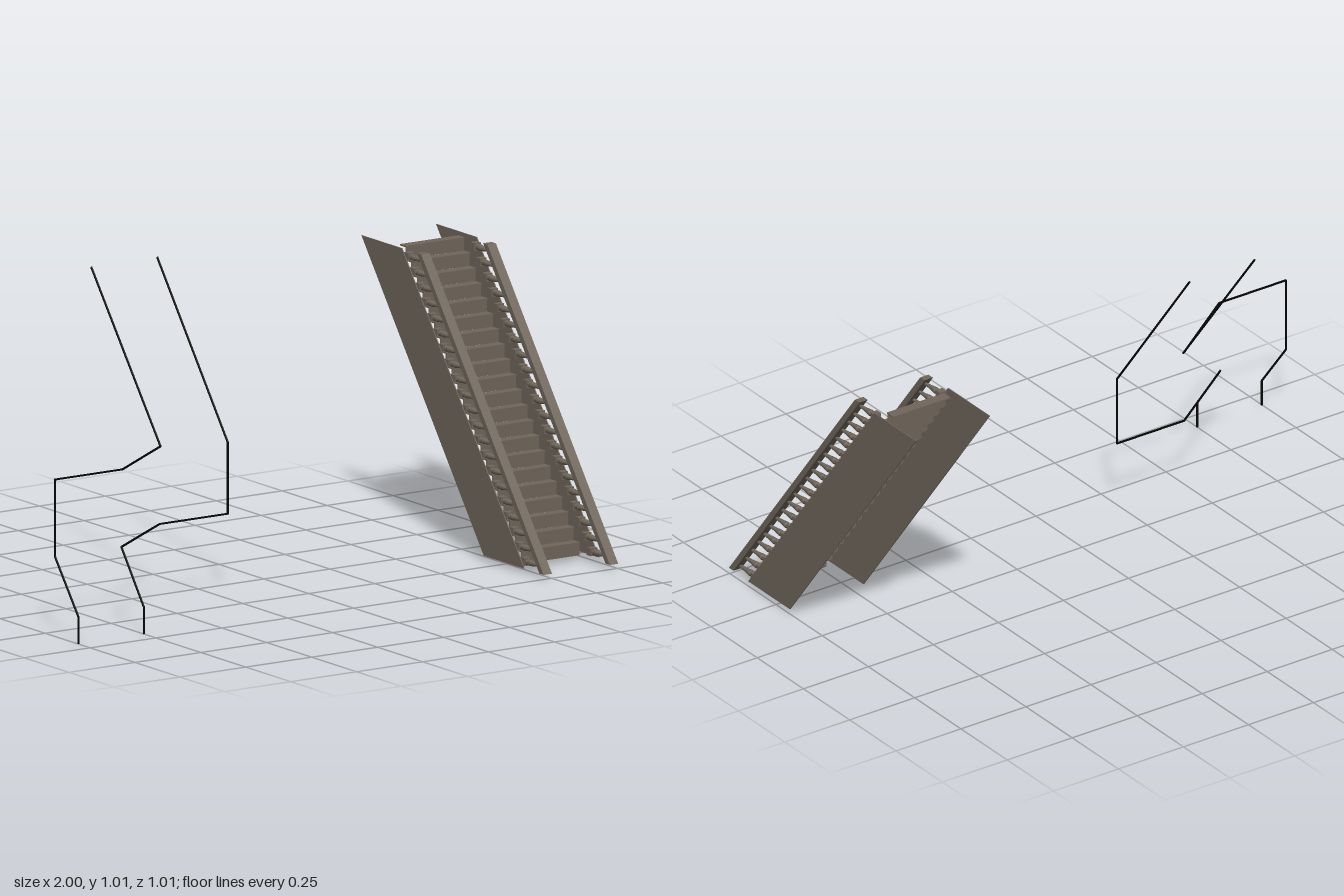
import * as THREE from 'three';

const BASE = 0.015, TOP = 0.917, SLOPE = 0.755; // z lost per unit of height
const STEPS = 21, RISE = (TOP - BASE) / STEPS, RUN = 0.675 / STEPS;

// sloping slab with level ends: z range at its foot, x range across
function slopedSlab(zFront, zBack, x0, x1) {
  const shift = (TOP - BASE) * SLOPE;
  const shape = new THREE.Shape([
    new THREE.Vector2(zBack, BASE), new THREE.Vector2(zFront, BASE),
    new THREE.Vector2(zFront - shift, TOP), new THREE.Vector2(zBack - shift, TOP),
  ]);
  const geo = new THREE.ExtrudeGeometry(shape, { depth: x1 - x0, bevelEnabled: false });
  return geo.rotateY(-Math.PI / 2).translate(x1, 0, 0);
}

// square thin bars joining the points of a path
function wirePath(points, material, name) {
  const group = new THREE.Group();
  group.name = name;
  const t = 0.005;
  const pts = points.map((p) => new THREE.Vector3(...p));
  for (let i = 0; i < pts.length - 1; i++) {
    const bar = new THREE.Mesh(new THREE.BoxGeometry(t, t, pts[i].distanceTo(pts[i + 1]) + t * 0.6), material);
    bar.name = name + 'Segment';
    bar.position.lerpVectors(pts[i], pts[i + 1], 0.5);
    bar.lookAt(pts[i + 1]);
    group.add(bar);
  }
  return group;
}

export function createModel() {
  const model = new THREE.Group();
  model.name = 'staircase';
  const wood = new THREE.MeshStandardMaterial({ color: 0x70665b });
  wood.name = 'grey brown wood';
  const black = new THREE.MeshStandardMaterial({ color: 0x050505 });
  black.name = 'black line';
  const add = (geo, name, x = 0, y = 0, z = 0) => {
    const mesh = new THREE.Mesh(geo, wood);
    mesh.name = name;
    mesh.position.set(x, y, z);
    model.add(mesh);
  };

  // side panels and handrails
  add(slopedSlab(0.4, 0.175, 0.714, 0.717), 'rightSidePanel');
  add(slopedSlab(0.4, 0.175, 0.997, 1.0), 'leftSidePanel');
  add(slopedSlab(0.507, 0.483, 0.715, 0.747), 'rightHandrail');
  add(slopedSlab(0.507, 0.483, 0.966, 0.998), 'leftHandrail');

  // treads and risers
  const width = 0.22, xMid = 0.855;
  const treadGeo = new THREE.BoxGeometry(width, 0.005, RUN + 0.003);
  const riserGeo = new THREE.BoxGeometry(width, RISE, 0.003);
  for (let i = 0; i < STEPS; i++) {
    const z = 0.34 - RUN * i, y = BASE + RISE * i;
    add(riserGeo, 'riser', xMid, y + RISE / 2, z - 0.0025);
    add(treadGeo, 'tread', xMid, y + RISE - 0.0025, z - RUN / 2 + 0.001);
  }

  // turned spindles lying level between handrail and side panel
  const profile = [
    [0, 0], [0.0055, 0], [0.0055, 0.012], [0.0065, 0.03], [0.0085, 0.045],
    [0.0105, 0.06], [0.011, 0.064], [0.0075, 0.068], [0.0105, 0.074], [0.0105, 0.08], [0, 0.08],
  ].map(([r, h]) => new THREE.Vector2(r, h));
  const spindleGeo = new THREE.LatheGeometry(profile, 8).rotateX(-Math.PI / 2);
  const blockGeo = new THREE.BoxGeometry(0.025, 0.025, 0.022);
  for (const x of [0.731, 0.982]) {
    for (let i = 0; i < STEPS; i++) {
      const y = BASE + RISE * (i + 0.45);
      const z = 0.488 - (y - BASE) * SLOPE;
      add(spindleGeo, 'spindle', x, y, z);
      add(blockGeo, 'spindleBlock', x, y, z - 0.089);
    }
  }

  // pair of thin guide lines that climb, turn and climb again
  model.add(wirePath([
    [-0.998, 0, 0.433], [-0.998, 0.085, 0.433], [-0.998, 0.255, 0.302], [-0.998, 0.502, 0.302],
    [-0.742, 0.502, 0.302], [-0.468, 0.502, 0.105], [-0.46, 0.502, 0.1], [-0.46, 1.005, -0.285],
  ], black, 'outerGuideLine'));
  model.add(wirePath([
    [-0.75, 0, 0.433], [-0.75, 0.085, 0.433], [-0.75, 0.255, 0.308], [-0.742, 0.255, 0.302],
    [-0.468, 0.255, 0.107], [-0.21, 0.255, 0.107], [-0.21, 0.485, 0.107], [-0.21, 1.005, -0.285],
  ], black, 'innerGuideLine'));
  return model;
}
